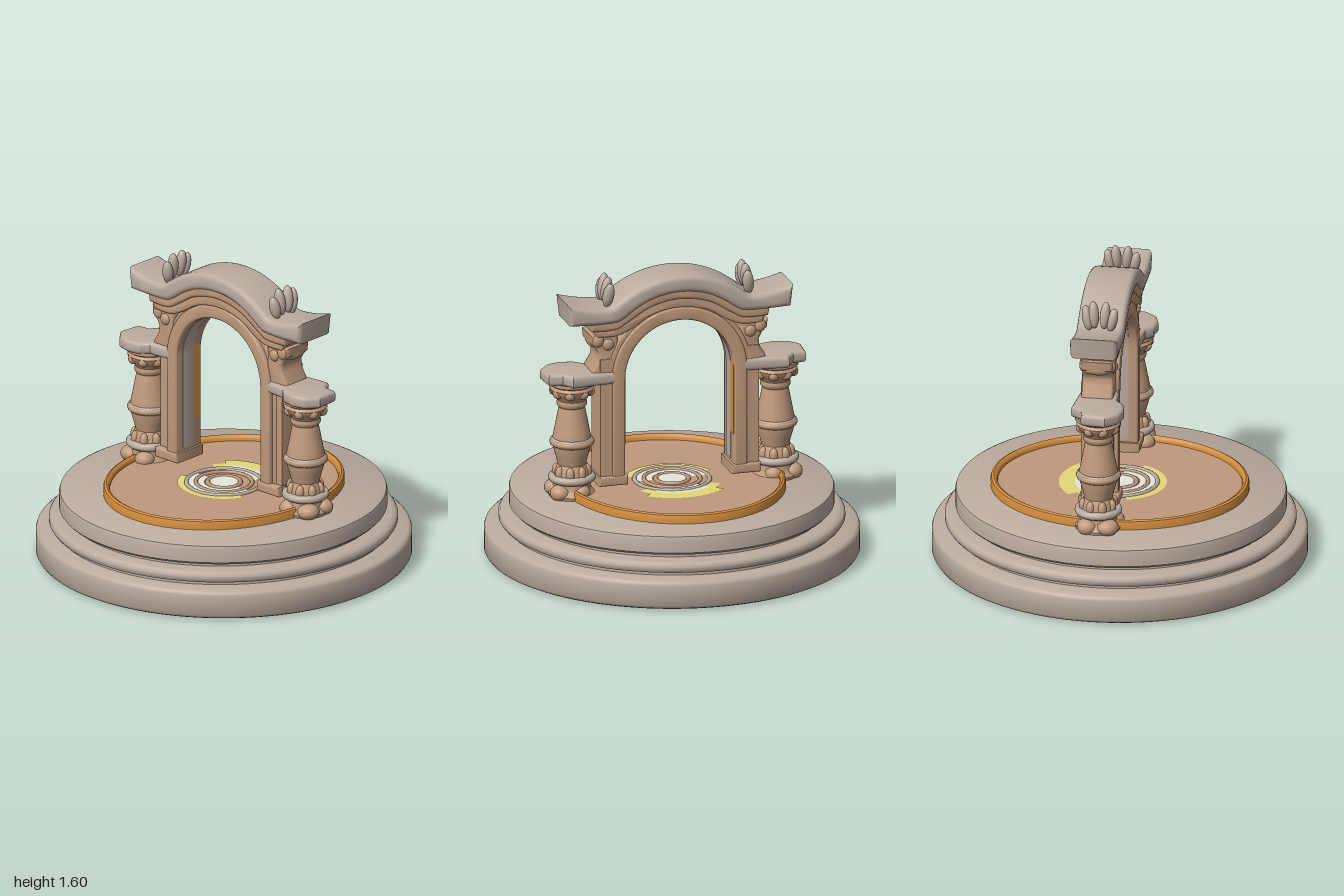
import * as THREE from 'three';
import { toCreasedNormals } from 'three/addons/utils/BufferGeometryUtils.js';

const mat = (name, color) => {
  const m = new THREE.MeshStandardMaterial({ color });
  m.name = name;
  return m;
};

export function createModel() {
  const root = new THREE.Group();
  root.name = 'archShrine';
  const stone = mat('greyStone', 0xbcaca0);
  const tan = mat('tanStone', 0xc09a7c);
  const bronze = mat('bronze', 0xd28c3c);
  const earth = mat('brownUnderside', 0xc58438);
  const shade = mat('brownGrey', 0xa08c7c);
  const yellow = mat('paleYellow', 0xe4d878);
  const white = mat('paleWhite', 0xe8e8de);
  const V = (a) => a.map(([x, y]) => new THREE.Vector2(x, y));

  const add = (name, geo, m, x = 0, y = 0, z = 0) => {
    const mesh = new THREE.Mesh(geo, m);
    mesh.name = name;
    mesh.position.set(x, y, z);
    root.add(mesh);
    return mesh;
  };
  const lathe = (pts, seg = 96) => toCreasedNormals(new THREE.LatheGeometry(V(pts), seg), 0.7);
  // bevelled plate; the outline is the true outer edge in z
  const plate = (shape, z0, z1, b = 0.01) => {
    const g = new THREE.ExtrudeGeometry(shape, {
      depth: z1 - z0 - 2 * b, bevelThickness: b, bevelSize: b, bevelOffset: -b,
      bevelSegments: 3, curveSegments: 32,
    });
    g.translate(0, 0, z0 + b);
    return toCreasedNormals(g, 0.6);
  };
  // symmetrical moulding between two half curves, each listed from the centre outwards
  const moulding = (top, bottom, z0, z1, b) => {
    const full = (half) => {
      const pts = [...half.slice(1).reverse().map(([x, y]) => [-x, y]), ...half];
      return new THREE.SplineCurve(V(pts)).getPoints(48);
    };
    return plate(new THREE.Shape([...full(top), ...full(bottom).reverse()]), z0, z1, b);
  };
  // upside-down U around the doorway
  const archBand = (rIn, rOut, foot, z0, z1, b) => {
    const s = new THREE.Shape();
    const spring = 1.04;
    s.moveTo(rOut, foot);
    s.lineTo(rOut, spring);
    s.absarc(0, spring, rOut, 0, Math.PI, false);
    s.lineTo(-rOut, foot);
    s.lineTo(-rIn, foot);
    s.lineTo(-rIn, spring);
    s.absarc(0, spring, rIn, Math.PI, 0, true);
    s.lineTo(rIn, foot);
    s.closePath();
    return plate(s, z0, z1, b);
  };

  // stepped round base
  add('lowerStep', lathe([[0.83, 0.01], [0.97, 0.005], [0.99, 0.015], [1, 0.03], [1, 0.14], [0.995, 0.155], [0.98, 0.165], [0.85, 0.17]]), stone);
  add('middleStep', lathe([[0.85, 0.165], [0.9, 0.168], [0.9, 0.185], [0.925, 0.19], [0.935, 0.205], [0.935, 0.225], [0.925, 0.24], [0.9, 0.248], [0.8, 0.25]]), stone, 0, 0, 0.004).scale.x = 0.985;
  add('upperStep', lathe([[0.8, 0.245], [0.84, 0.25], [0.84, 0.27], [0.87, 0.272], [0.882, 0.285], [0.882, 0.36], [0.877, 0.375], [0.86, 0.383], [0, 0.383]]), stone, 0, 0, 0.006).scale.x = 0.98;

  // level discs and rings, facing up or down
  const flatRing = (name, r0, r1, m, y, start = 0, len = Math.PI * 2, down = false) => {
    const g = new THREE.RingGeometry(r0, r1, 64, 1, start, len);
    g.rotateX(down ? Math.PI / 2 : -Math.PI / 2);
    return add(name, g, m, 0, y, 0);
  };
  flatRing('underside', 0, 0.8, earth, 0.006, 0, Math.PI * 2, true);
  flatRing('undersideEdge', 0.8, 0.89, shade, 0.005, 0, Math.PI * 2, true);

  // oval court with its raised rim
  add('courtRim', lathe([[0.69, 0.375], [0.69, 0.415], [0.685, 0.428], [0.672, 0.435], [0.658, 0.428], [0.652, 0.415], [0.652, 0.395]]), bronze).scale.x = 0.865;
  add('courtFloor', lathe([[0.66, 0.38], [0.66, 0.404], [0, 0.404]]), tan).scale.x = 0.865;

  // ripples at the centre of the court
  flatRing('backGlow', 0.2, 0.325, yellow, 0.407, 0.85, Math.PI - 1.7);
  flatRing('backGlowTips', 0.2, 0.27, yellow, 0.4065, 0.6, Math.PI - 1.2);
  flatRing('frontGlow', 0.19, 0.25, yellow, 0.407, Math.PI + 0.3, Math.PI - 0.7);
  flatRing('paleRippleFront', 0.105, 0.2, white, 0.409, Math.PI, Math.PI);
  flatRing('paleRippleBack', 0.16, 0.24, white, 0.409, 0.9, 1.35);
  flatRing('centreDisc', 0, 0.075, white, 0.411);
  [[0.088, tan], [0.15, tan], [0.2, stone]].forEach(([r, m], i) => {
    const g = new THREE.TorusGeometry(r, 0.012, 8, 48);
    g.rotateX(Math.PI / 2);
    add('ripple' + (i + 1), g, m, 0, 0.406, 0);
  });

  // doorway frame
  add('innerArch', archBand(0.302, 0.375, 0.46, -0.15, 0.05, 0.012), tan);
  add('outerArch', archBand(0.36, 0.4, 0.46, -0.14, 0.025, 0.008), tan);
  add('archLining', archBand(0.299, 0.305, 0.52, -0.085, 0.0, 0.001), stone);

  // curved mouldings and crown
  add('lowerMoulding', moulding(
    [[0, 1.475], [0.15, 1.45], [0.27, 1.38], [0.35, 1.335], [0.48, 1.335]],
    [[0, 1.41], [0.15, 1.385], [0.26, 1.32], [0.35, 1.285], [0.46, 1.285]], -0.145, 0.05, 0.012), tan);
  add('upperMoulding', moulding(
    [[0, 1.53], [0.17, 1.5], [0.29, 1.425], [0.37, 1.385], [0.5, 1.385]],
    [[0, 1.462], [0.16, 1.432], [0.28, 1.362], [0.36, 1.322], [0.49, 1.322]], -0.155, 0.06, 0.015), tan);
  add('crown', moulding(
    [[0, 1.597], [0.13, 1.582], [0.25, 1.538], [0.34, 1.482], [0.37, 1.46], [0.41, 1.449], [0.52, 1.461], [0.625, 1.487]],
    [[0, 1.505], [0.13, 1.487], [0.23, 1.442], [0.31, 1.388], [0.35, 1.369], [0.41, 1.364], [0.51, 1.364], [0.612, 1.368]], -0.175, 0.078, 0.026), stone);

  const ball = (name, m, x, y, z, rx, ry, rz) => {
    const b = add(name, new THREE.SphereGeometry(1, 16, 12), m, x, y, z);
    b.scale.set(rx, ry, rz);
    return b;
  };
  const zc = -0.028;

  for (const s of [1, -1]) {
    const side = s > 0 ? 'left' : 'right';
    const mirrored = (pts) => new THREE.Shape(V(pts.map(([px, py]) => [s * px, py])));

    // jamb, foot block and bronze reveal
    add(side + 'Jamb', new THREE.BoxGeometry(0.07, 0.7, 0.16), tan, s * 0.405, 0.81, -0.06);
    add(side + 'JambFoot', plate(mirrored([[0.288, 0.45], [0.448, 0.45], [0.448, 0.505], [0.288, 0.505]]), -0.155, 0.06, 0.012), tan);
    add(side + 'Reveal', new THREE.BoxGeometry(0.006, 0.42, 0.055), bronze, s * 0.302, 0.88, -0.11);

    // upper pilaster with scrolled bracket
    add(side + 'Pilaster', plate(mirrored([[0.34, 1.07], [0.485, 1.07], [0.48, 1.1], [0.45, 1.15], [0.445, 1.19],
      [0.465, 1.23], [0.49, 1.25], [0.495, 1.3], [0.34, 1.3]]), -0.135, 0.035, 0.018), tan);
    for (const z of [0.03, -0.13]) {
      ball(side + 'Scroll', tan, s * 0.395, 1.24, z, 0.033, 0.033, 0.02);
      ball(side + 'ScrollLeaf', tan, s * 0.45, 1.265, z, 0.032, 0.035, 0.018);
    }
    ball(side + 'OuterScroll', tan, s * 0.462, 1.25, -0.05, 0.03, 0.035, 0.085);

    // baluster column
    const x = s * 0.565;
    add(side + 'Column', lathe([[0.12, 0.38], [0.125, 0.4], [0.1, 0.43], [0.1, 0.46], [0.09, 0.53], [0.075, 0.56], [0.085, 0.6], [0.105, 0.67],
      [0.105, 0.7], [0.095, 0.75], [0.07, 0.88], [0.08, 0.892], [0.082, 0.905], [0.078, 0.92], [0.092, 0.945], [0.112, 0.965], [0.118, 0.985],
      [0.108, 1.0], [0.125, 1.01], [0.125, 1.03]], 32), tan, x, 0, zc);
    [[0.105, 0.485, 0.022, stone], [0.1, 0.685, 0.02, tan], [0.098, 0.697, 0.014, stone]].forEach(([r, y, t, m], i) => {
      const g = new THREE.TorusGeometry(r, t, 10, 32);
      g.rotateX(Math.PI / 2);
      add(side + 'ColumnRing' + (i + 1), g, m, x, y, zc);
    });
    for (let i = 0; i < 8; i++) {
      const a = (i + 0.5) * Math.PI / 4;
      const c = Math.cos(a), d = Math.sin(a);
      ball(side + 'BaseLeaf', tan, x + c * 0.083, 0.515, zc + d * 0.083, 0.024, 0.042, 0.024);
      ball(side + 'CapitalLeaf', tan, x + c * 0.093, 0.968, zc + d * 0.093, 0.03, 0.03, 0.03);
    }
    // rough foot of the column
    for (const [dx, dz, r] of [[0.075, 0.06, 0.06], [0.08, -0.05, 0.055], [-0.04, 0.08, 0.055], [-0.03, -0.07, 0.05]])
      ball(side + 'FootStone', tan, x + s * dx, 0.415, zc + dz, r, 0.045, r);

    // shelf on the column, cut away at its outer corners
    const shelf = [[0.36, -0.15], [0.6, -0.17], [0.64, -0.11], [0.715, -0.1], [0.725, 0.03], [0.67, 0.095], [0.6, 0.115], [0.52, 0.1], [0.48, 0.06], [0.36, 0.05]];
    const g = plate(mirrored(shelf.map(([px, pz]) => [px, -pz])), 1.02, 1.088, 0.02);
    g.rotateX(-Math.PI / 2);
    add(side + 'Shelf', g, stone);

    // leaf finial on the crown
    [[-0.115, 1.51, 0.07, -0.2], [-0.08, 1.53, 0.075, -0.08], [-0.02, 1.53, 0.075, 0.08], [0.02, 1.505, 0.065, 0.2]].forEach(([z, y, h, tilt]) => {
      const leaf = ball(side + 'FinialLeaf', stone, s * 0.388, y, z, 0.031, h, 0.028);
      leaf.rotation.set(tilt, 0, s * 0.12);
    });
  }
  return root;
}
